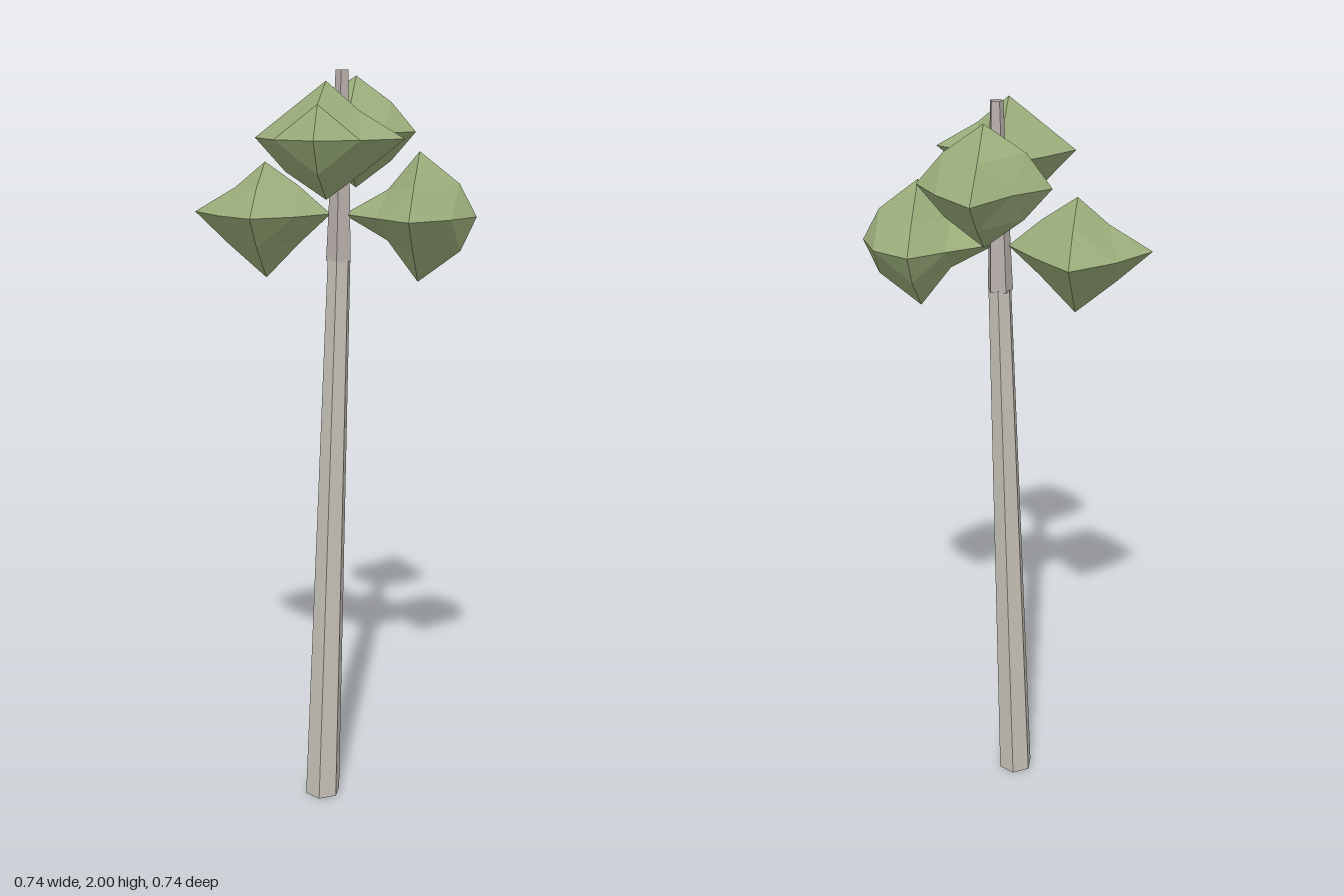
import * as THREE from 'three';

const leafMat = new THREE.MeshStandardMaterial({ color: 0x9aad7a, flatShading: true });
const barkMat = new THREE.MeshStandardMaterial({ color: 0xc4c0b6, flatShading: true });
const upperBarkMat = new THREE.MeshStandardMaterial({ color: 0xb8b0ac, flatShading: true });

// Tapered trunk piece that leans by shifting each ring between two centres [x, y, z]
function trunkPiece(name, sides, from, to, r0, r1, material) {
  const geo = new THREE.CylinderGeometry(r1, r0, 1, sides);
  const p = geo.attributes.position;
  const a = new THREE.Vector3(...from), b = new THREE.Vector3(...to), c = new THREE.Vector3();
  for (let i = 0; i < p.count; i++) {
    c.lerpVectors(a, b, p.getY(i) + 0.5);
    p.setXYZ(i, p.getX(i) + c.x, c.y, p.getZ(i) + c.z);
  }
  geo.computeVertexNormals();
  const mesh = new THREE.Mesh(geo, material);
  mesh.name = name;
  return mesh;
}

// Irregular octahedral leaf clump, each edge split once.
// tips: lengths along +x -x +y -y +z -z
// mids: offsets of the edge points, in order ++ +- -+ -- for the planes xz, xy, yz
function leafClump(name, centre, tips, mids) {
  const key = (x, y, z) => `${x},${y},${z}`;
  const pts = {};
  const signs = [[1, 1], [1, -1], [-1, 1], [-1, -1]];
  [0, 1, 2].forEach((axis) => [1, -1].forEach((s, j) => {
    const d = [0, 0, 0];
    d[axis] = s;
    pts[key(...d)] = d.map((v) => v * tips[axis * 2 + j]);
  }));
  [[0, 2], [0, 1], [1, 2]].forEach(([u, v], plane) => signs.forEach(([su, sv], j) => {
    const d = [0, 0, 0];
    d[u] = su;
    d[v] = sv;
    const f = mids[plane * 4 + j];
    pts[key(...d)] = [d[0] * f, d[1] * f * 0.8, d[2] * f];
  }));

  // Four triangles in each of the eight octants
  const verts = [];
  for (const x of [1, -1]) for (const y of [1, -1]) for (const z of [1, -1]) {
    const X = pts[key(x, 0, 0)], Y = pts[key(0, y, 0)], Z = pts[key(0, 0, z)];
    const XY = pts[key(x, y, 0)], YZ = pts[key(0, y, z)], XZ = pts[key(x, 0, z)];
    for (const [a, b, c] of [[X, XY, XZ], [Y, YZ, XY], [Z, XZ, YZ], [XY, YZ, XZ]]) {
      verts.push(...(x * y * z > 0 ? [a, b, c] : [a, c, b]).flat());
    }
  }
  const geo = new THREE.BufferGeometry();
  geo.setAttribute('position', new THREE.Float32BufferAttribute(verts, 3));
  geo.computeVertexNormals();
  const mesh = new THREE.Mesh(geo, leafMat);
  mesh.name = name;
  mesh.position.set(...centre);
  return mesh;
}

export function createModel() {
  const tree = new THREE.Group();
  tree.name = 'tree';

  // Trunk: six-sided below, thinner five-sided tip above
  tree.add(
    trunkPiece('lowerTrunk', 6, [-0.028, 0, 0.047], [0.014, 1.53, 0.022], 0.05, 0.031, barkMat),
    trunkPiece('upperTrunk', 5, [0.014, 1.525, 0.022], [0.022, 2, 0.022], 0.034, 0.017, upperBarkMat),
  );

  // Leaf clumps: two lower at the sides, two higher at the front and back
  tree.add(
    leafClump('leftLeaves', [0.22, 1.643, 0.022],
      [0.147, 0.194, 0.16, 0.168, 0.183, 0.151],
      [0.092, 0.097, 0.094, 0.083, 0.102, 0.108, 0.08, 0.08, 0.1, 0.09, 0.1, 0.1]),
    leafClump('rightLeaves', [-0.18, 1.643, 0.022],
      [0.172, 0.19, 0.13, 0.168, 0.165, 0.196],
      [0.097, 0.096, 0.1, 0.107, 0.088, 0.092, 0.08, 0.102, 0.09, 0.1, 0.1, 0.1]),
    leafClump('frontLeaves', [0.021, 1.842, 0.222],
      [0.19, 0.175, 0.132, 0.145, 0.149, 0.19],
      [0.101, 0.073, 0.104, 0.097, 0.08, 0.095, 0.085, 0.1, 0.1, 0.092, 0.1, 0.095]),
    leafClump('backLeaves', [0.021, 1.842, -0.177],
      [0.161, 0.161, 0.143, 0.147, 0.145, 0.196],
      [0.09, 0.096, 0.101, 0.077, 0.095, 0.095, 0.1, 0.095, 0.085, 0.09, 0.085, 0.1]),
  );
  return tree;
}
